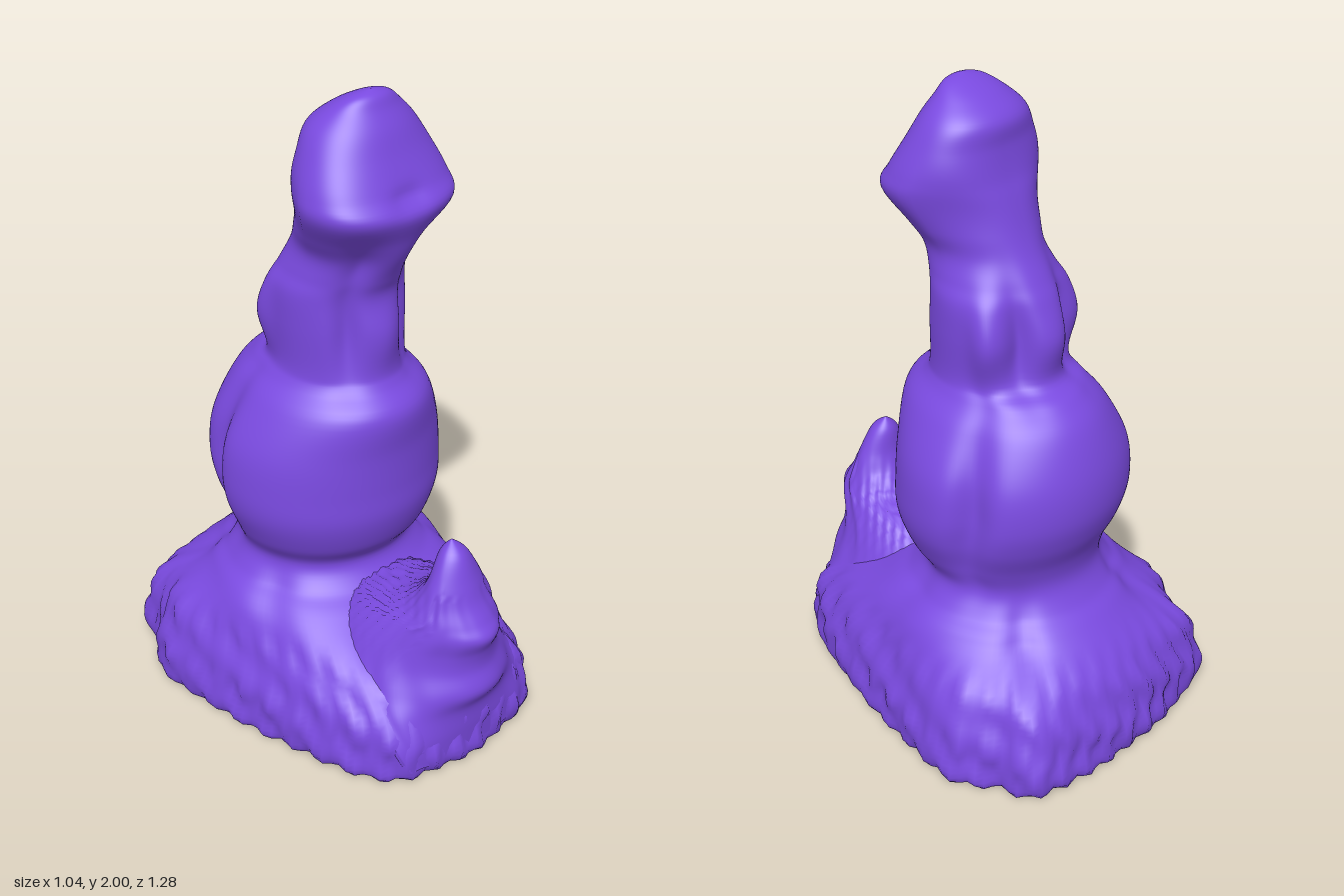
import * as THREE from 'three';

const purple = new THREE.MeshStandardMaterial({ color: 0x7a4ae0 });
purple.name = 'purple';

const SIDES = 144;

// Catmull-Rom sampling of a short table of rows
function sampleRows(rows, steps) {
  const out = [];
  const at = i => rows[Math.max(0, Math.min(rows.length - 1, i))];
  for (let i = 0; i < rows.length - 1; i++) {
    for (let s = 0; s < steps; s++) {
      const t = s / steps;
      out.push(rows[0].map((_, c) => {
        const [a, b, d, e] = [at(i - 1)[c], at(i)[c], at(i + 1)[c], at(i + 2)[c]];
        return b + 0.5 * t * (d - a + t * (2 * a - 5 * b + 4 * d - e + t * (3 * (b - d) + e - a)));
      }));
    }
  }
  out.push(rows[rows.length - 1]);
  return out;
}

// Closed rings stacked into a smooth skin
function loft(rings, place) {
  const pos = [], idx = [];
  rings.forEach(ring => {
    for (let j = 0; j < SIDES; j++) pos.push(...place(ring, j));
  });
  for (let i = 0; i < rings.length - 1; i++) {
    for (let j = 0; j < SIDES; j++) {
      const a = i * SIDES + j, b = i * SIDES + (j + 1) % SIDES;
      idx.push(a, b, b + SIDES, a, b + SIDES, a + SIDES);
    }
  }
  const g = new THREE.BufferGeometry();
  g.setAttribute('position', new THREE.Float32BufferAttribute(pos, 3));
  g.setIndex(idx);
  g.computeVertexNormals();
  return g;
}

const bell = (d, w) => Math.exp(-d * d / (w * w));
const power = (v, e) => Math.sign(v) * Math.abs(v) ** e;

// Shield outline of the foot, scaled to unit extents
const half = [[0.12, 0.59], [0.26, 0.55], [0.37, 0.37], [0.45, 0.05], [0.5, -0.33], [0.42, -0.47], [0.4, -0.56], [0.2, -0.61]];
const outline = [[0, 0.6], ...half, [0, -0.63], ...half.slice().reverse().map(([x, z]) => [-x, z])];
const shield = new THREE.CatmullRomCurve3(
  outline.map(([x, z]) => new THREE.Vector3(x / 0.5, 0, (z + 0.015) / 0.615)), true, 'centripetal'
).getSpacedPoints(SIDES).slice(0, SIDES);

// Rows are y, half width, front z, back z; the foot starts inside its hollow
const footRows = [
  [0.2, 0.001, 0.001, -0.001], [0.12, 0.3, 0.36, -0.39], [0, 0.38, 0.46, -0.48],
  [0, 0.495, 0.59, -0.62], [0.1, 0.503, 0.6, -0.63], [0.2, 0.48, 0.57, -0.61],
  [0.3, 0.445, 0.45, -0.56], [0.4, 0.375, 0.28, -0.465], [0.45, 0.32, 0.2, -0.41]
];
const trunkRows = [
  [0.52, 0.285, 0.16, -0.375], [0.6, 0.32, 0.21, -0.385], [0.7, 0.358, 0.24, -0.43],
  [0.8, 0.365, 0.24, -0.455], [0.92, 0.345, 0.24, -0.445], [1.05, 0.275, 0.248, -0.395],
  [1.12, 0.215, 0.19, -0.33], [1.17, 0.195, 0.17, -0.26], [1.3, 0.198, 0.17, -0.265],
  [1.4, 0.195, 0.16, -0.24]
];
const headRows = [
  [1.46, 0.175, 0.18, -0.21], [1.53, 0.163, 0.21, -0.17], [1.6, 0.195, 0.24, -0.14],
  [1.69, 0.24, 0.285, -0.11], [1.75, 0.235, 0.25, -0.09], [1.83, 0.203, 0.21, -0.075],
  [1.9, 0.165, 0.18, -0.07], [1.95, 0.115, 0.15, -0.015], [1.985, 0.065, 0.13, 0.05],
  [2, 0.001, 0.1, 0.098]
];

// Swellings and creases: angle from front, y, angular size, height, depth
const middleBumps = [
  [Math.PI, 1.28, 0.3, 0.1, 0.015], [0, 1.27, 0.28, 0.09, 0.015],
  [0, 1.57, 0.3, 0.08, 0.012], [0, 1.73, 0.16, 0.03, -0.015]
];
const sideBumps = [
  [1.98, 0.82, 0.17, 0.22, -0.05], [2.6, 1.3, 0.2, 0.13, -0.04], [2.12, 1.3, 0.22, 0.11, 0.03],
  [0.6, 1.3, 0.2, 0.13, -0.03], [0.65, 1.53, 0.25, 0.08, -0.022],
  [2.45, 0.36, 0.14, 0.12, -0.025], [1.2, 0.4, 0.2, 0.1, -0.02]
];
const bumps = [...middleBumps, ...sideBumps, ...sideBumps.map(([a, ...rest]) => [-a, ...rest])];

function placeBody([y, w, front, back], j) {
  const p = shield[j], a = Math.atan2(p.x, p.z);
  // The hollow and the trunk are round, the foot is shield-shaped, the head rim squarish
  const round = Math.max(THREE.MathUtils.smoothstep(y, 0.24, 0.48), THREE.MathUtils.smoothstep(-w, -0.47, -0.38));
  const soft = 1 - 0.25 * bell(y - 1.72, 0.14);
  const c = THREE.MathUtils.lerp(p.z, power(Math.cos(a), soft), round);
  const z = (front + back) / 2 + c * (front - back) / 2;
  // The head narrows towards the nape
  const nape = 1 + 0.35 * bell(y - 1.67, 0.11) * Math.min(c, 0);
  const x = w * THREE.MathUtils.lerp(p.x, power(Math.sin(a), soft), round) * nape;
  let d = 0;
  for (const [ba, by, wa, wy, amp] of bumps) {
    d += amp * bell(Math.atan2(Math.sin(a - ba), Math.cos(a - ba)), wa) * bell(y - by, wy);
  }
  // Rough bark-like skin on the outside of the foot
  const rough = 0.01 * (1 - round) * THREE.MathUtils.clamp((w - 0.4) * 12, 0, 1);
  d += rough * (Math.sin(j * 1.7 + Math.sin(y * 30)) * 0.7 + Math.sin(j * 0.61) * Math.sin(y * 40 + j));
  // Fade the relief where the rings close
  d *= Math.min(1, w * 10);
  return [x + d * Math.sin(a), Math.max(0, y), z + d * Math.cos(a)];
}

// Upswept front spur
const spurRows = [
  [0.04, 0.25, 0.595, 0.53], [0.12, 0.28, 0.6, 0.46], [0.2, 0.285, 0.605, 0.3], [0.27, 0.265, 0.635, 0.05],
  [0.34, 0.235, 0.612, 0.03], [0.4, 0.205, 0.615, 0.06], [0.46, 0.168, 0.637, 0.14],
  [0.5, 0.14, 0.61, 0.31], [0.55, 0.115, 0.575, 0.385], [0.61, 0.088, 0.55, 0.42],
  [0.69, 0.045, 0.515, 0.435], [0.73, 0.001, 0.466, 0.464]
];

function placeSpur([y, w, front, back], j) {
  const a = j / SIDES * Math.PI * 2;
  const c = Math.cos(a), s = Math.sin(a);
  // Pointed towards the front, broad towards the body
  const x = w * s * (c > 0 ? 1 - 0.15 * c * c : 1);
  const z = (front + back) / 2 + c * (front - back) / 2;
  // Rows of small scales in the hollow, shallow folds in front
  const scales = c < 0.5 ? 0.007 * Math.sin(x * 130) * Math.sin(z * 150) * bell(y - 0.46, 0.12) : 0;
  const folds = c > 0.2 && w > 0.1 ? 0.004 * Math.sin(a * 14 + y * 18) * s * s : 0;
  return [x + folds * s, y + scales, z + folds * c];
}

export function createModel() {
  const model = new THREE.Group();
  model.name = 'sculpture';

  const bodyRows = [...footRows, ...trunkRows, ...headRows];
  const body = new THREE.Mesh(loft(sampleRows(bodyRows, 6), placeBody), purple);
  body.name = 'bodyAndFoot';

  const spur = new THREE.Mesh(loft(sampleRows(spurRows, 6), placeSpur), purple);
  spur.name = 'frontSpur';

  model.add(body, spur);
  return model;
}
